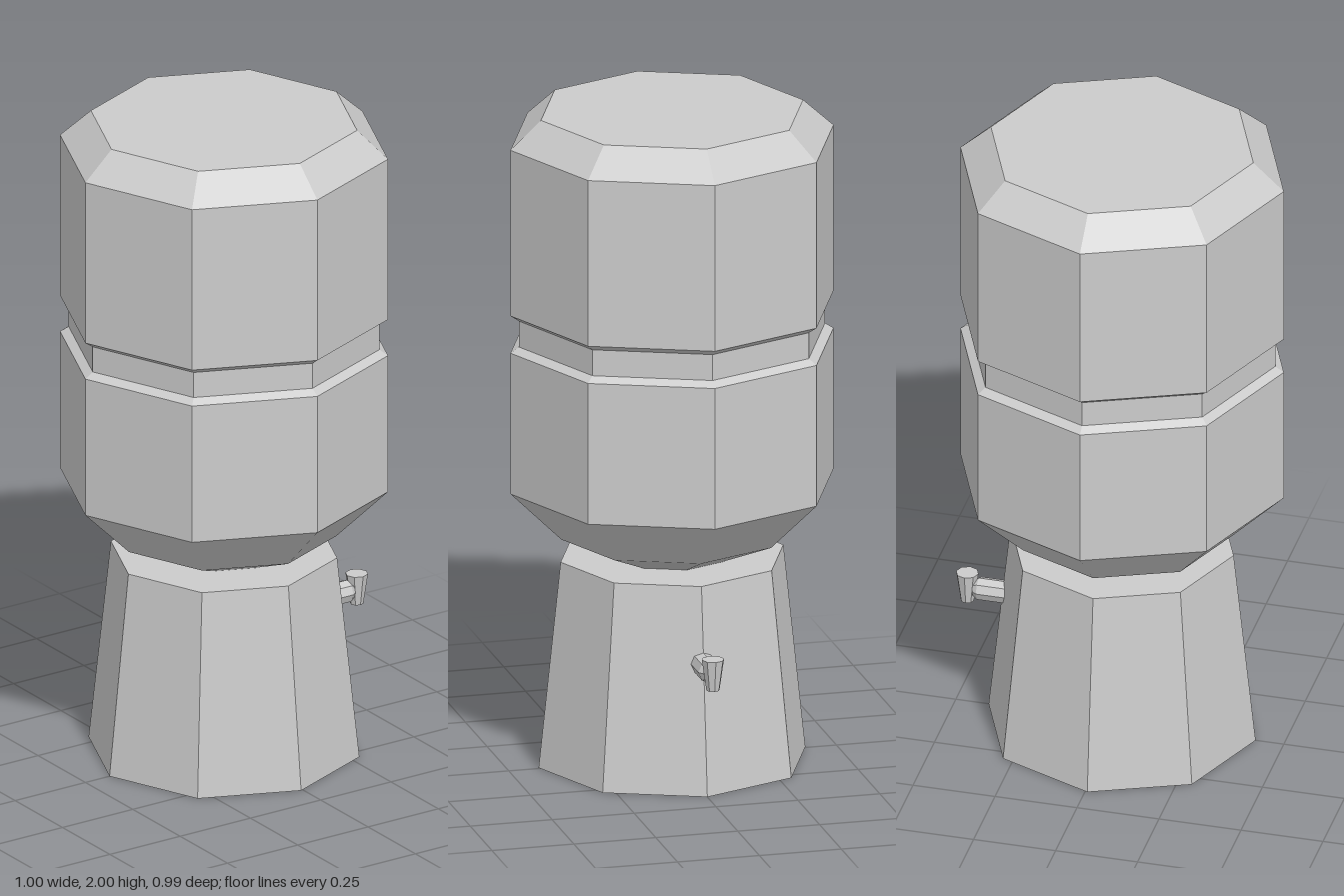
import * as THREE from 'three';

const SIDES = 8;
const CENTRE_X = -0.007;

export function createModel() {
  const group = new THREE.Group();
  const material = new THREE.MeshStandardMaterial({ color: 0xcccccc, flatShading: true });

  // Faceted solid of revolution; profile is [radius, height] from bottom to top
  const turned = (name, profile) => {
    const points = profile.map(([r, y]) => new THREE.Vector2(r, y));
    const mesh = new THREE.Mesh(new THREE.LatheGeometry(points, SIDES), material);
    mesh.name = name;
    group.add(mesh);
    return mesh;
  };

  // Tapered stand
  turned('stand', [[0, 0], [0.407, 0], [0.34, 0.63], [0, 0.63]])
    .position.x = CENTRE_X;

  // Water bottle with a waist groove, a bevelled top and a funnel neck
  turned('bottle', [
    [0, 0.62], [0.15, 0.62], [0.17, 0.63], [0.338, 0.7], [0.493, 0.853],
    [0.493, 1.288], [0.467, 1.305], [0.467, 1.385], [0.493, 1.403],
    [0.493, 1.915], [0.4, 2], [0, 2],
  ]).position.x = CENTRE_X;

  // Spout pipe sticking out of the stand's side
  const pipe = turned('tapPipe', [[0, 0], [0.035, 0], [0.035, 0.1], [0.024, 0.115], [0, 0.115]]);
  pipe.rotation.z = -Math.PI / 2;
  pipe.position.set(0.33, 0.396, 0);

  // Tapered tap nozzle at the end of the pipe
  turned('tapNozzle', [[0, 0.35], [0.02, 0.35], [0.034, 0.445], [0, 0.445]])
    .position.x = 0.465;

  return group;
}
